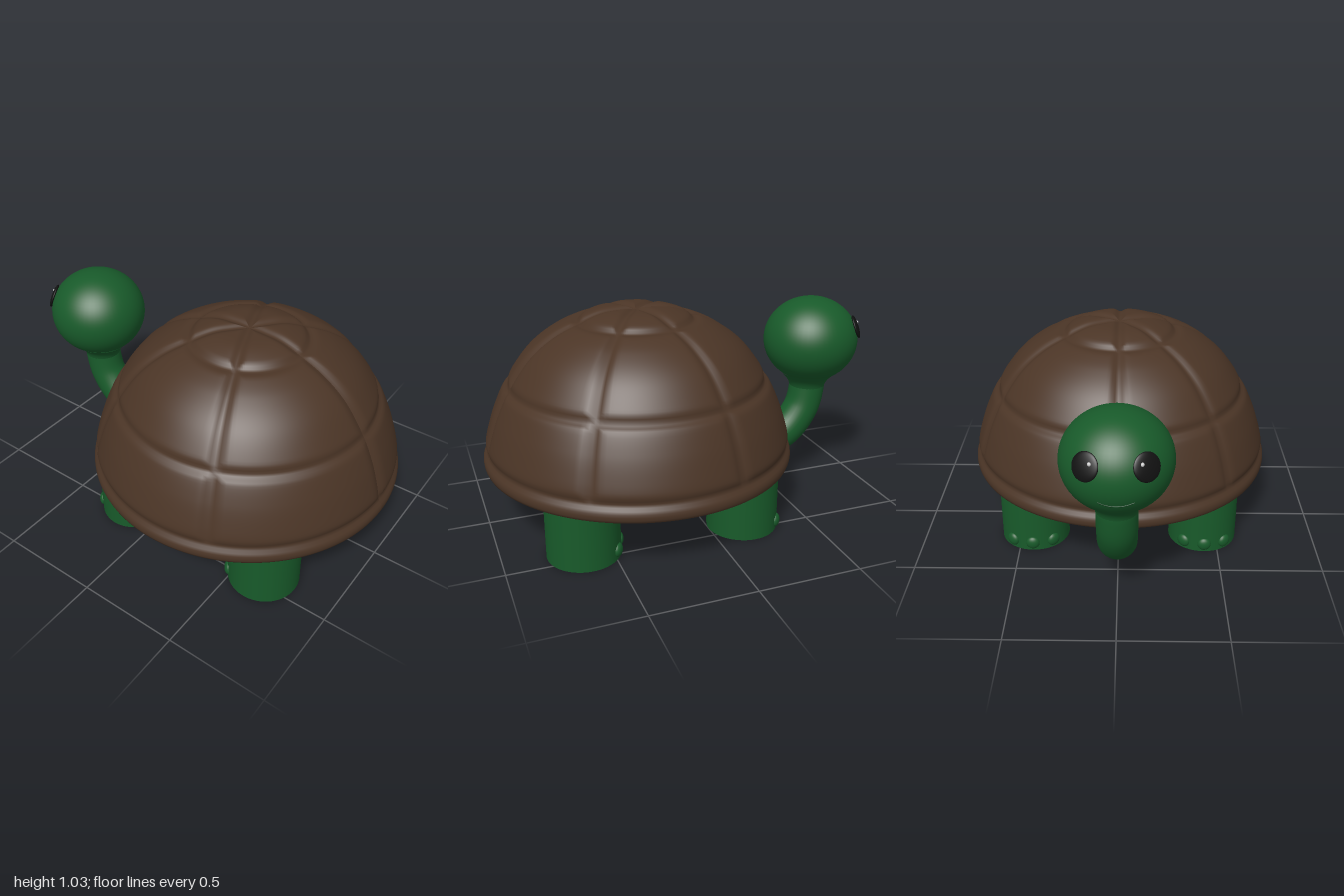
import * as THREE from 'three';

const green = new THREE.MeshStandardMaterial({ color: 0x185a2a });
const darkGreen = new THREE.MeshStandardMaterial({ color: 0x0e3d1b });
const brown = new THREE.MeshStandardMaterial({ color: 0x4b3526 });
const black = new THREE.MeshStandardMaterial({ color: 0x111111 });
const white = new THREE.MeshStandardMaterial({ color: 0xffffff });

const v2 = (pts) => pts.map(([x, y]) => new THREE.Vector2(x, y));
const v3 = (pts) => pts.map(([x, y, z]) => new THREE.Vector3(x, y, z));

function add(parent, name, geometry, material, x = 0, y = 0, z = 0) {
  const mesh = new THREE.Mesh(geometry, material);
  mesh.name = name;
  mesh.position.set(x, y, z);
  parent.add(mesh);
  return mesh;
}

// Dome with pressed-in seams: three rings and six uneven spokes
function shellGeometry() {
  const profile = new THREE.SplineCurve(v2([
    [0.745, 0.27], [0.768, 0.275], [0.776, 0.305], [0.768, 0.355], [0.748, 0.44], [0.707, 0.56], [0.645, 0.685],
    [0.54, 0.83], [0.42, 0.925], [0.29, 0.985], [0.18, 1.025], [0.08, 1.035], [0, 1.035],
  ])).getSpacedPoints(90);
  profile[90].x = 0;
  const geometry = new THREE.LatheGeometry(profile, 192);
  const spokes = [0, 56, 111, 180, 225, 291].map(THREE.MathUtils.degToRad);
  const rings = [[0.768, 0.355], [0.645, 0.685], [0.29, 0.985]];
  const bump = (d, w) => Math.exp(-((d / w) ** 2));
  const pos = geometry.attributes.position;
  for (let i = 0; i < pos.count; i++) {
    const x = pos.getX(i), y = pos.getY(i), z = pos.getZ(i);
    const r = Math.hypot(x, z), phi = Math.atan2(x, z);
    let groove = 0;
    for (const [rr, ry] of rings) groove = Math.max(groove, bump(Math.hypot(r - rr, y - ry), 0.022));
    for (const s of spokes) {
      const diff = Math.atan2(Math.sin(phi - s), Math.cos(phi - s));
      const fade = THREE.MathUtils.smoothstep(y, 0.31, 0.37);
      groove = Math.max(groove, fade * bump(r * diff, 0.024));
    }
    const k = 1 - 0.02 * groove;
    pos.setXYZ(i, x * k, 0.27 + (y - 0.27) * k, z * k);
  }
  geometry.computeVertexNormals();
  return geometry;
}

export function createModel() {
  const model = new THREE.Group();
  model.name = 'turtle';
  const shellZ = 0.22;

  // Shell and belly
  add(model, 'shell', shellGeometry(), brown, 0, 0, shellZ);
  const belly = v2([[0, 0.228], [0.25, 0.232], [0.5, 0.25], [0.68, 0.268], [0.755, 0.275]]);
  add(model, 'belly', new THREE.LatheGeometry(new THREE.SplineCurve(belly).getPoints(16), 72), green, 0, 0, shellZ);

  // Legs, each with three toes
  for (const [end, z] of [['front', -0.173], ['back', 0.627]]) {
    for (const side of [-1, 1]) {
      const leg = new THREE.Group();
      leg.name = end + (side > 0 ? 'LeftLeg' : 'RightLeg');
      leg.position.set(side * 0.432, 0, z);
      add(leg, 'leg', new THREE.CylinderGeometry(0.173, 0.173, 0.3, 48), green, 0, 0.15, 0);
      for (const a of [-0.64, 0, 0.64]) {
        const toe = add(leg, 'toe', new THREE.SphereGeometry(0.034, 20, 14), green,
          Math.sin(a) * 0.17, 0.043, -Math.cos(a) * 0.17);
        toe.scale.z = 0.6;
        toe.rotation.y = -a;
      }
      model.add(leg);
    }
  }

  // Neck: a curved tube with a round lower end, flaring into the head
  const neckPath = new THREE.CatmullRomCurve3(v3([
    [0, 0.225, -0.32], [0, 0.217, -0.46], [0, 0.265, -0.615], [0, 0.385, -0.715], [0, 0.5, -0.745], [0, 0.62, -0.748],
  ]));
  add(model, 'neck', new THREE.TubeGeometry(neckPath, 48, 0.094, 32), green);
  add(model, 'neckEnd', new THREE.SphereGeometry(0.094, 32, 20), green, 0, 0.225, -0.32);
  const flare = new THREE.SplineCurve(v2([[0.088, 0.48], [0.096, 0.525], [0.115, 0.56], [0.15, 0.595]]));
  add(model, 'neckFlare', new THREE.LatheGeometry(flare.getPoints(14), 40), green, 0, 0, -0.747);

  // Head
  const radii = new THREE.Vector3(0.247, 0.226, 0.248);
  const head = new THREE.Group();
  head.name = 'head';
  head.position.set(0, 0.775, -0.752);
  model.add(head);
  add(head, 'skull', new THREE.SphereGeometry(1, 56, 40), green).scale.copy(radii);
  const onFace = (x, y) => new THREE.Vector3(x, y,
    -radii.z * Math.sqrt(1 - (x / radii.x) ** 2 - (y / radii.y) ** 2));

  // Eyes with glints, lying flat on the face
  for (const side of [-1, 1]) {
    const p = onFace(side * 0.122, 0.075);
    const normal = p.clone().divide(radii).divide(radii).normalize();
    const eye = add(head, side > 0 ? 'leftEye' : 'rightEye', new THREE.SphereGeometry(0.062, 32, 20), black, p.x, p.y, p.z);
    eye.scale.z = 0.22;
    eye.quaternion.setFromUnitVectors(new THREE.Vector3(0, 0, 1), normal);
    const g = onFace(side * 0.098, 0.09).addScaledVector(normal, 0.011);
    add(head, 'eyeGlint', new THREE.SphereGeometry(0.009, 12, 8), white, g.x, g.y, g.z);
  }

  // Mouth: a fine smiling line
  const smile = [-0.075, -0.04, 0, 0.04, 0.075].map((x) => onFace(x, -0.095 + 3 * x * x));
  add(head, 'mouth', new THREE.TubeGeometry(new THREE.CatmullRomCurve3(smile), 24, 0.003, 8), darkGreen);

  return model;
}
